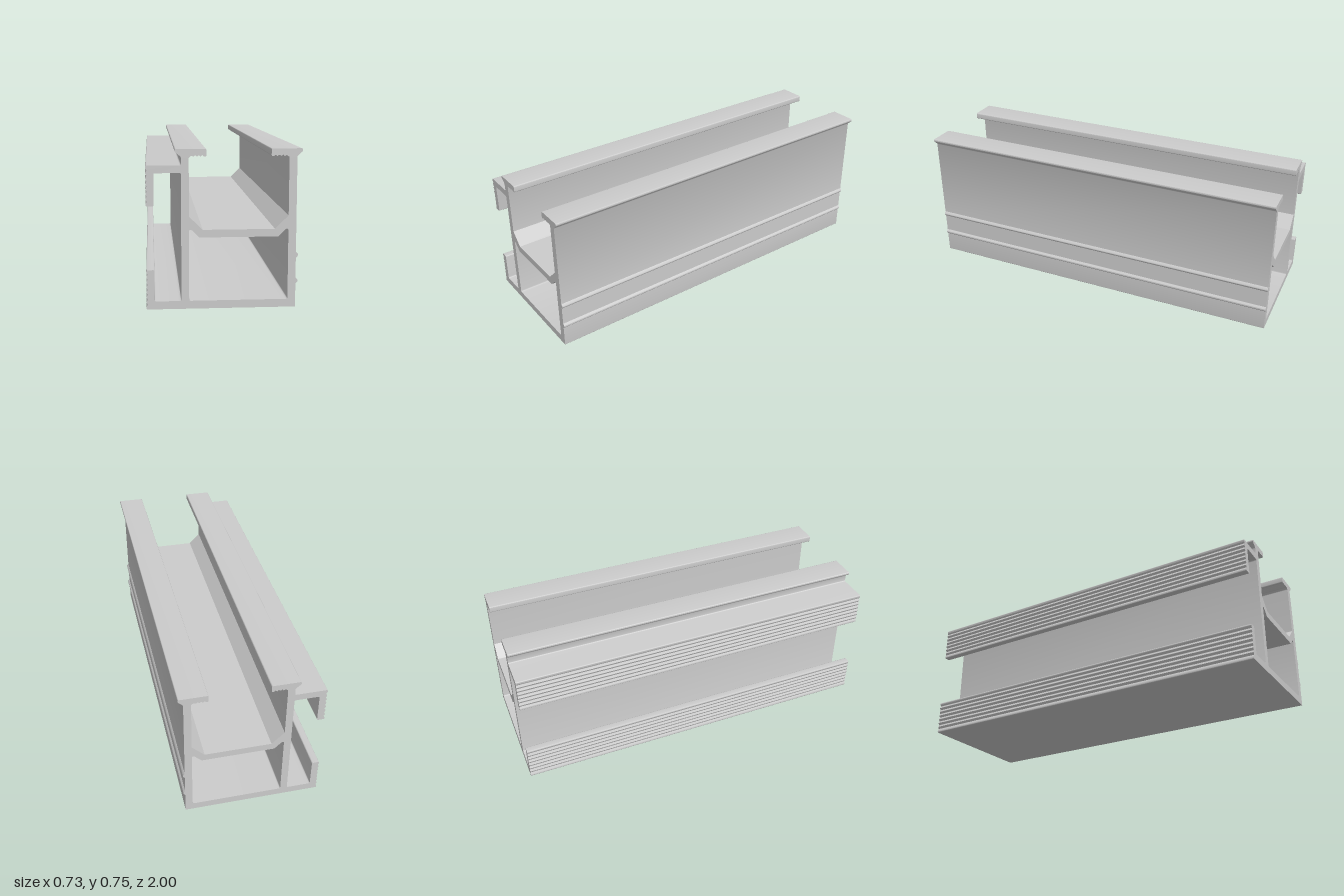
import * as THREE from 'three';
import { toCreasedNormals } from 'three/addons/utils/BufferGeometryUtils.js';

const LENGTH = 2;

// Traces a closed outline of [x, y, cornerRadius] points, rounding corners that have a radius.
function trace(path, points) {
  const n = points.length;
  points.forEach(([x, y, r = 0], i) => {
    const corner = new THREE.Vector2(x, y);
    const toward = ([px, py]) =>
      new THREE.Vector2(px, py).sub(corner).setLength(r).add(corner);
    const a = r ? toward(points[(i + n - 1) % n]) : corner;
    if (i === 0) path.moveTo(a.x, a.y);
    else path.lineTo(a.x, a.y);
    if (r) {
      const b = toward(points[(i + 1) % n]);
      path.quadraticCurveTo(x, y, b.x, b.y);
    }
  });
  path.closePath();
  return path;
}

// Wavy grip line from a to b; the wave cuts to the left of the travel direction.
function serration(a, b, count, depth) {
  const start = new THREE.Vector2(...a), dir = new THREE.Vector2(...b).sub(start);
  const normal = new THREE.Vector2(-dir.y, dir.x).normalize();
  const steps = count * 6;
  return Array.from({ length: steps + 1 }, (_, i) => {
    const t = i / steps;
    const cut = depth * (1 - Math.cos(t * count * Math.PI * 2)) / 2;
    const p = start.clone().addScaledVector(dir, t).addScaledVector(normal, cut);
    return [p.x, p.y];
  });
}

// Small rounded rib on the outer wall, centred at height y.
const rib = (y) => [
  [0.337, y - 0.014], [0.347, y - 0.004, 0.003], [0.347, y + 0.004, 0.003], [0.337, y + 0.014],
];

// Top lip of a wall, listed from the outer chamfer to the inner face; s = 1 for left, -1 for right.
const lip = (s, outer, tip, face, edge) => [
  [outer, 0.714, 0.003], [edge, 0.737, 0.004], [edge, 0.75, 0.006],
  [tip, 0.75, 0.006], [tip, 0.715, 0.006],
  ...(s > 0
    ? serration([tip + 0.011, 0.715], [face - 0.022, 0.715], 3, 0.006)
    : serration([face + 0.022, 0.715], [tip - 0.011, 0.715], 3, 0.006).reverse()),
  [face - s * 0.012, 0.719, 0.003], [face, 0.71, 0.003],
];

export function createModel() {
  const profile = trace(new THREE.Shape(), [
    // base and outer wall with ribs
    [-0.363, 0, 0.004], [0.337, 0, 0.003],
    ...rib(0.125), ...rib(0.25),
    // left lip, channel floor, right lip
    ...lip(1, 0.337, 0.217, 0.30, 0.362),
    [0.30, 0.438], [0.237, 0.375], [-0.10, 0.375], [-0.164, 0.438],
    ...lip(-1, -0.20, -0.083, -0.164, -0.228).reverse(),
    // upper side flange
    [-0.20, 0.675, 0.006], [-0.363, 0.675, 0.006],
    ...serration([-0.363, 0.664], [-0.363, 0.497], 7, 0.006),
    [-0.363, 0.488, 0.006], [-0.325, 0.488, 0.006], [-0.325, 0.64, 0.006], [-0.20, 0.64, 0.006],
    // lower side flange
    [-0.20, 0.038, 0.008], [-0.325, 0.038, 0.008], [-0.325, 0.188, 0.006], [-0.363, 0.188, 0.006],
    ...serration([-0.363, 0.179], [-0.363, 0.011], 7, 0.006),
  ]);

  // closed lower chamber
  profile.holes.push(trace(new THREE.Path(), [
    [-0.164, 0.038, 0.008], [-0.164, 0.375, 0.007], [-0.152, 0.375, 0.004], [-0.116, 0.339],
    [0.252, 0.339], [0.288, 0.375, 0.004], [0.30, 0.375, 0.007], [0.30, 0.038, 0.008],
  ]));

  const geometry = new THREE.ExtrudeGeometry(profile, {
    depth: LENGTH, bevelEnabled: false, curveSegments: 4,
  });
  geometry.translate(0, 0, -LENGTH / 2);

  const rail = new THREE.Mesh(
    toCreasedNormals(geometry, Math.PI / 6),
    new THREE.MeshStandardMaterial({ color: 0xcccccc }),
  );
  rail.name = 'extrudedRail';

  const model = new THREE.Group();
  model.name = 'mountingRail';
  model.add(rail);
  return model;
}
